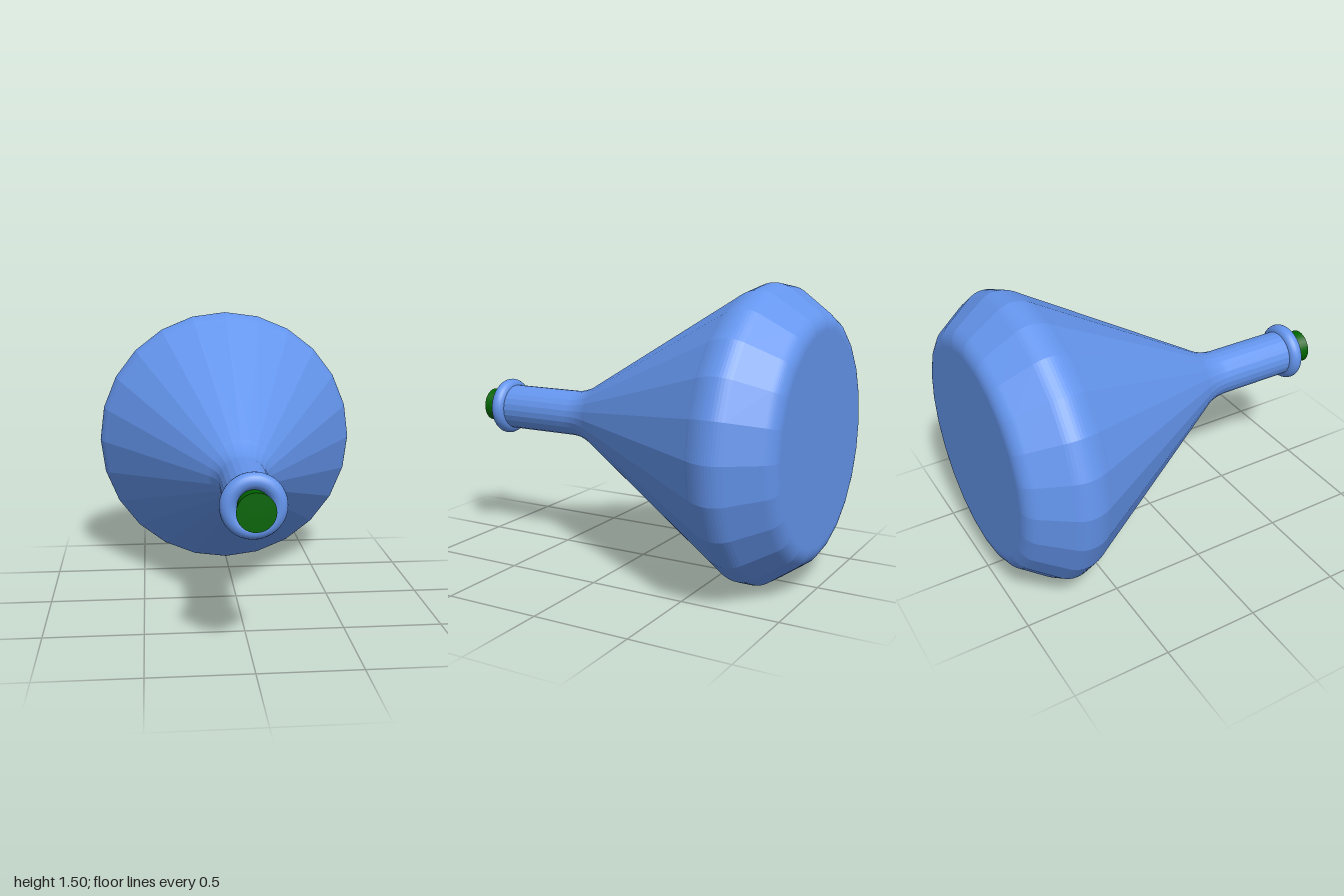
import * as THREE from 'three';

const CENTRE_Y = 0.75;

// Build around the y axis, then lay the axis along +z
function addPart(group, name, geometry, material) {
  const mesh = new THREE.Mesh(geometry, material);
  mesh.name = name;
  group.add(mesh);
  return mesh;
}

export function createModel() {
  const flask = new THREE.Group();
  flask.name = 'flask';
  flask.position.y = CENTRE_Y;

  const facetedGlass = new THREE.MeshStandardMaterial({ color: 0x6495ed, flatShading: true, side: THREE.DoubleSide });
  const smoothGlass = new THREE.MeshStandardMaterial({ color: 0x6495ed });
  const green = new THREE.MeshStandardMaterial({ color: 0x006400 });

  // Body and neck: profile of (radius, distance along axis) with rounded corners
  const profile = new THREE.Path();
  profile.moveTo(0, -1);
  profile.lineTo(0.53, -1);
  profile.quadraticCurveTo(0.59, -1, 0.625, -0.95);
  profile.lineTo(0.725, -0.81);
  profile.quadraticCurveTo(0.78, -0.725, 0.705, -0.615);
  profile.lineTo(0.18, 0.26);
  profile.quadraticCurveTo(0.123, 0.345, 0.123, 0.43);
  profile.lineTo(0.123, 0.88);
  const body = new THREE.LatheGeometry(profile.getPoints(12), 24);
  body.rotateX(Math.PI / 2);
  addPart(flask, 'bodyAndNeck', body, facetedGlass);

  // Rounded lip around the mouth
  const lip = addPart(flask, 'lip', new THREE.TorusGeometry(0.115, 0.04, 20, 48), smoothGlass);
  lip.position.z = 0.88;

  // Tapered stopper, wider at its outer end
  const stopper = new THREE.CylinderGeometry(0.09, 0.06, 0.25, 32);
  stopper.rotateX(Math.PI / 2);
  addPart(flask, 'stopper', stopper, green).position.z = 0.875;

  const model = new THREE.Group();
  model.name = 'stopperedFlask';
  model.add(flask);
  return model;
}
